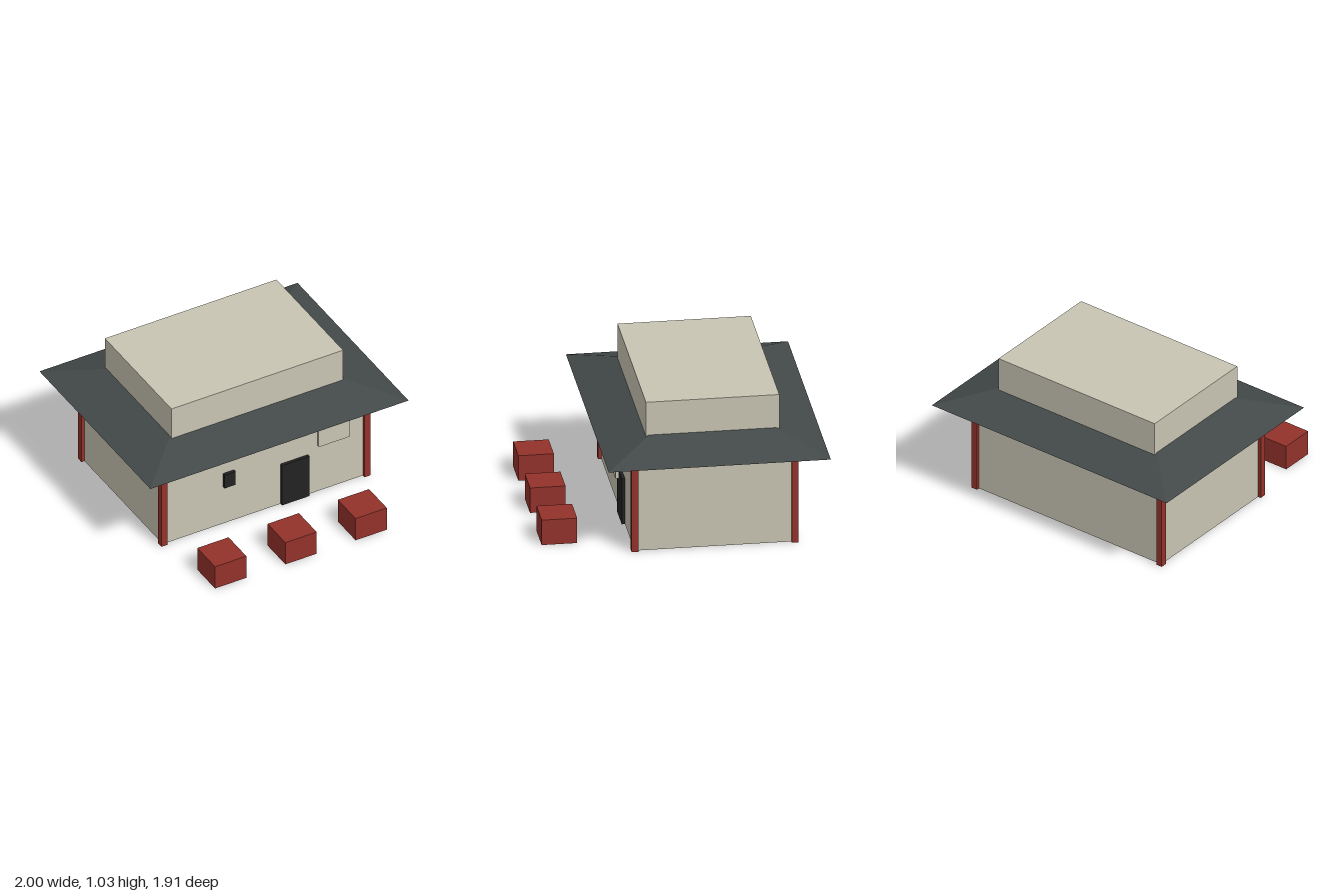
import * as THREE from 'three';

const paint = (name, color) => {
  const m = new THREE.MeshStandardMaterial({ color });
  m.name = name;
  return m;
};

export function createModel() {
  const cream = paint('cream plaster', 0xc8c4b3);
  const red = paint('red wood', 0x93322b);
  const slate = paint('slate roof', 0x434949);
  const black = paint('black', 0x222222);

  const model = new THREE.Group();
  model.name = 'house';
  const houseZ = -0.2; // the house stands behind the row of stools

  // Box given by its size and the centre of its underside
  const box = (name, material, w, h, d, x, y, z) => {
    const mesh = new THREE.Mesh(new THREE.BoxGeometry(w, h, d), material);
    mesh.name = name;
    mesh.position.set(x, y + h / 2, z);
    model.add(mesh);
    return mesh;
  };

  // Storeys
  box('lowerStorey', cream, 1.574, 0.605, 1.09, 0, 0, houseZ + 0.004);
  box('upperStorey', cream, 1.33, 0.427, 0.908, 0, 0.605, houseZ);

  // Corner posts
  for (const x of [-0.787, 0.787]) {
    for (const z of [-0.545, 0.545]) {
      box('cornerPost', red, 0.046, 0.607, 0.046, x, 0, houseZ + 0.004 + z);
    }
  }

  // Skirt roof: a box whose top is drawn in to form sloping sides
  const roof = box('skirtRoof', slate, 2, 0.13, 1.512, 0, 0.68, houseZ);
  const p = roof.geometry.attributes.position;
  for (let i = 0; i < p.count; i++) {
    if (p.getY(i) > 0) {
      p.setX(i, Math.sign(p.getX(i)) * 0.604);
      p.setZ(i, Math.sign(p.getZ(i)) * 0.372);
    }
  }
  roof.geometry.computeVertexNormals();

  // Door, window and hanging sign
  box('door', black, 0.214, 0.335, 0.03, 0.232, 0, 0.356);
  box('window', black, 0.086, 0.112, 0.03, -0.277, 0.309, 0.356);
  box('hangingSign', cream, 0.242, 0.182, 0.025, 0.484, 0.456, 0.44);

  // Row of stools in front
  for (const x of [-0.605, -0.06, 0.484]) {
    box('stool', red, 0.242, 0.183, 0.242, x, 0, 0.834);
  }

  return model;
}
